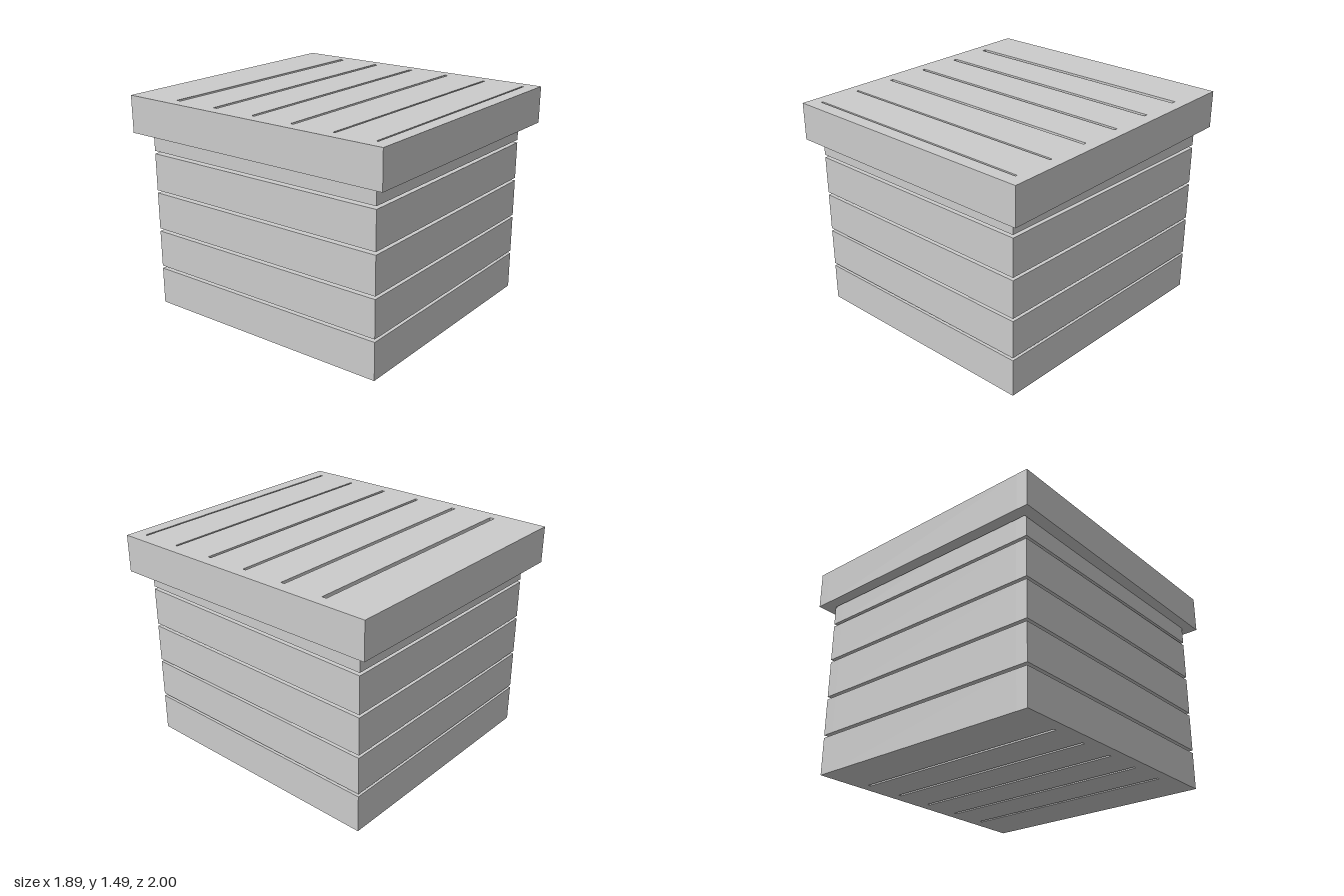
import * as THREE from 'three';

const material = new THREE.MeshStandardMaterial({ color: 0xcccccc, flatShading: true });

// Board given by its min/max extents on each axis
function board(parent, name, [x0, x1], [y0, y1], [z0, z1]) {
  const geometry = new THREE.BoxGeometry(x1 - x0, y1 - y0, z1 - z0);
  geometry.translate((x0 + x1) / 2, (y0 + y1) / 2, (z0 + z1) / 2);
  const mesh = new THREE.Mesh(geometry, material);
  mesh.name = name;
  parent.add(mesh);
  return mesh;
}

// Lean a mesh out of square by moving its vertices
function skew(mesh, rule) {
  const p = mesh.geometry.attributes.position;
  for (let i = 0; i < p.count; i++) {
    p.setXYZ(i, ...rule(p.getX(i), p.getY(i), p.getZ(i)));
  }
  mesh.geometry.computeVertexNormals();
}

function group(parent, name) {
  const g = new THREE.Group();
  g.name = name;
  parent.add(g);
  return g;
}

export function createModel() {
  const model = new THREE.Group();
  model.name = 'crate';
  const body = group(model, 'body');

  // Five rows of wall slats
  const pitch = 0.2765, slatHeight = 0.257;
  for (let row = 0; row < 5; row++) {
    const y = [row * pitch, row * pitch + slatHeight];
    board(body, 'leftSlat', [0.78, 0.86], y, [-0.9, 0.9]);
    board(body, 'rightSlat', [-0.86, -0.78], y, [-0.9, 0.9]);
    board(body, 'frontSlat', [-0.78, 0.78], y, [0.83, 0.9]);
    board(body, 'backSlat', [-0.78, 0.78], y, [-0.9, -0.83]);
  }

  // Triangular posts tying the slats together in the corners
  for (const sx of [-1, 1]) {
    for (const sz of [-1, 1]) {
      const shape = new THREE.Shape([
        new THREE.Vector2(sx * 0.78, -sz * 0.83),
        new THREE.Vector2(sx * 0.56, -sz * 0.83),
        new THREE.Vector2(sx * 0.78, -sz * 0.61),
      ]);
      const geometry = new THREE.ExtrudeGeometry(shape, { depth: 1.35, bevelEnabled: false });
      geometry.rotateX(-Math.PI / 2);
      const post = new THREE.Mesh(geometry, material);
      post.name = 'cornerPost';
      body.add(post);
    }
  }

  // Floor planks with narrow gaps
  const floorPitch = 1.66 / 6;
  for (let i = 0; i < 6; i++) {
    const z = -0.83 + i * floorPitch;
    board(body, 'floorPlank', [-0.78, 0.78], [0, 0.08],
      [z + (i > 0 ? 0.01 : 0), z + floorPitch - (i < 5 ? 0.01 : 0)]);
  }

  // The left wall leans in slightly towards the front
  for (const mesh of body.children) {
    skew(mesh, (x, y, z) => [x > 0.5 ? x - 0.01 * (1 + z / 0.9) : x, y, z]);
  }

  // Lid: rim boards around six top planks
  const lid = group(model, 'lid');
  const rim = [1.228, 1.482];
  board(lid, 'lidLeftRim', [0.857, 0.938], rim, [-0.993, 0.993]);
  board(lid, 'lidRightRim', [-0.938, -0.857], rim, [-0.993, 0.993]);
  board(lid, 'lidFrontRim', [-0.857, 0.857], rim, [0.903, 0.993]);
  board(lid, 'lidBackRim', [-0.857, 0.857], rim, [-0.993, -0.915]);
  const planks = [[-0.915, -0.652], [-0.62, -0.333], [-0.306, -0.018],
    [0.005, 0.285], [0.308, 0.595], [0.61, 0.89]];
  for (const z of planks) board(lid, 'lidPlank', [-0.857, 0.857], [1.4, 1.482], z);

  // The lid is a little out of square and tips down at the front
  for (const mesh of lid.children) {
    skew(mesh, (x, y, z) => [x + 0.0085 * z, y - 0.005 * z, z + 0.006 * x]);
  }
  return model;
}
